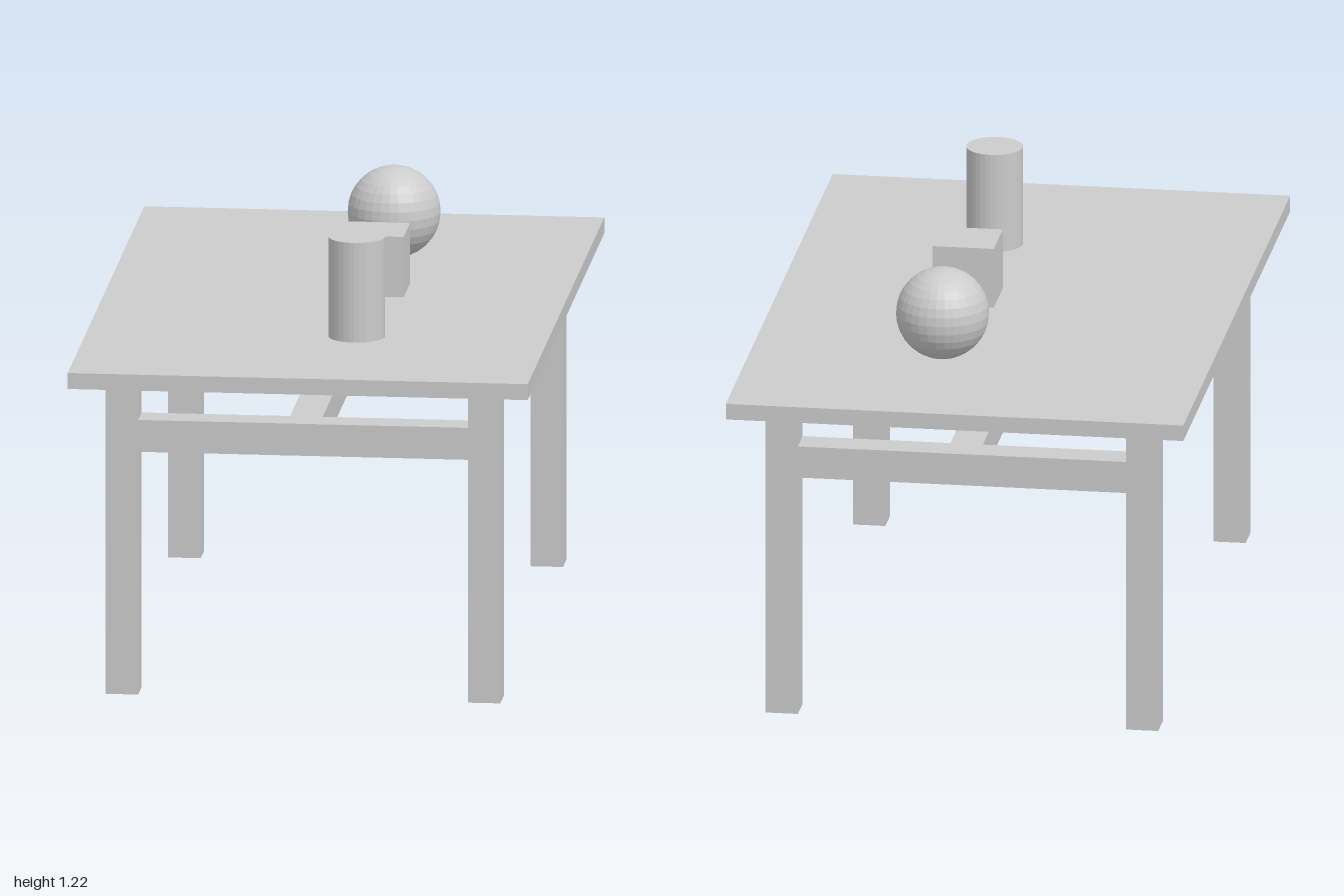
import * as THREE from 'three';

export function createModel() {
  const model = new THREE.Group();
  const material = new THREE.MeshStandardMaterial({ color: 0xcccccc, flatShading: true });

  const add = (name, geometry, x, y, z) => {
    const mesh = new THREE.Mesh(geometry, material);
    mesh.name = name;
    mesh.position.set(x, y, z);
    model.add(mesh);
  };
  const box = (name, w, h, d, x, y, z) => add(name, new THREE.BoxGeometry(w, h, d), x, y, z);

  const beam = 0.09;                 // square section shared by legs and rails
  const legX = 0.5, legZ = 0.818;    // leg centres
  const legHeight = 0.89, topHeight = 0.045, railY = 0.73;

  // Table top
  box('tableTop', 1.27, topHeight, 2, 0, legHeight + topHeight / 2, 0);

  // Legs, with a cross rail between each end pair
  for (const [end, sz] of [['front', 1], ['back', -1]]) {
    for (const [side, sx] of [['Left', 1], ['Right', -1]]) {
      box(`${end}${side}Leg`, beam, legHeight, beam, sx * legX, legHeight / 2, sz * legZ);
    }
    box(`${end}Rail`, legX * 2 - beam, beam, beam, 0, railY, sz * legZ);
  }

  // Central stretcher joining the two rails
  box('centreStretcher', beam, beam, legZ * 2 - beam, 0, railY, 0);

  // Objects on the table, in a row
  const rowX = 0.108;
  add('cylinder', new THREE.CylinderGeometry(0.078, 0.078, 0.284, 32), rowX, 1.074, 0.478);
  box('cube', 0.17, 0.17, 0.17, rowX, 1.033, -0.026);
  add('ball', new THREE.SphereGeometry(0.128, 32, 16), rowX, 1.058, -0.497);

  return model;
}
